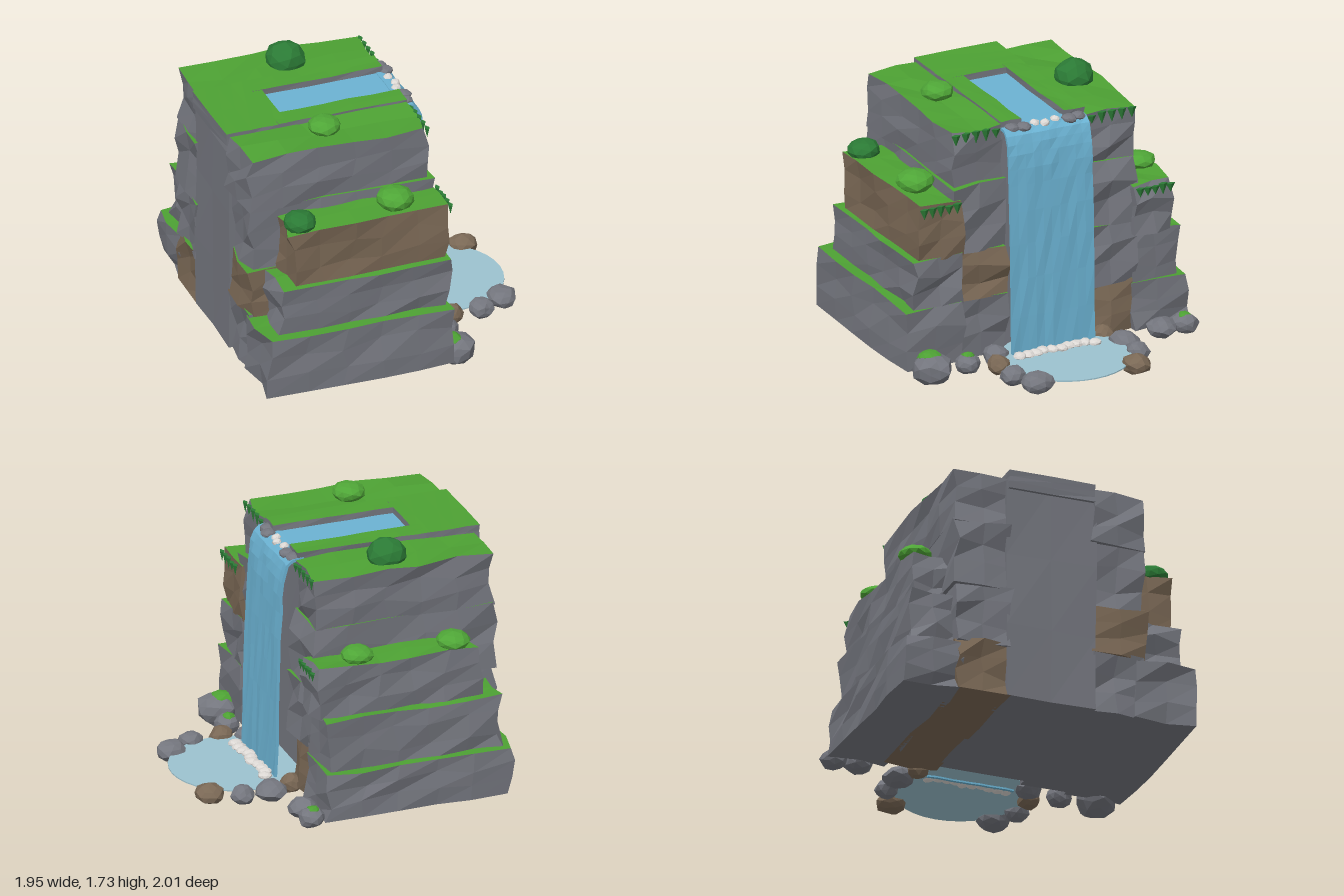
import * as THREE from 'three';

const mat = (name, color) => Object.assign(new THREE.MeshStandardMaterial({ color }), { name });

// Repeatable noise in -1..1 from a position, so shared corners move together
const noise = (x, y, z, s) => {
  const q = v => Math.round(v * 500);
  const n = Math.sin(q(x) * 1.27 + q(y) * 3.11 + q(z) * 7.47 + s * 17.3) * 4375.85;
  return (n - Math.floor(n)) * 2 - 1;
};

// Move every vertex by a rule, then give it flat faces
function facet(geometry, rule) {
  const p = geometry.attributes.position, v = new THREE.Vector3();
  for (let i = 0; i < p.count; i++) {
    rule(v.fromBufferAttribute(p, i));
    p.setXYZ(i, v.x, v.y, v.z);
  }
  const g = geometry.index ? geometry.toNonIndexed() : geometry;
  g.computeVertexNormals();
  return g;
}

export function createModel() {
  const model = new THREE.Group();
  const rock = mat('greyRock', 0x74767e), brown = mat('brownRock', 0x7a6855);
  const grass = mat('grass', 0x4da133), leaf = mat('bushGreen', 0x4fa637);
  const dark = mat('darkGreen', 0x2b7a35), water = mat('water', 0x6bb2d2);
  const pool = mat('poolWater', 0x9cc2cf), foam = mat('foam', 0xdcd8d4);

  const add = (name, geometry, material, parent = model) => {
    const mesh = new THREE.Mesh(geometry, material);
    mesh.name = name;
    parent.add(mesh);
    return mesh;
  };
  const group = name => {
    const g = new THREE.Group();
    g.name = name;
    model.add(g);
    return g;
  };

  // Rough rock layer with a grassy top face
  let seed = 1;
  function ledge(name, [x0, x1, y0, y1, z0, z1], side, parent, rough = 1) {
    const s = seed++;
    const box = new THREE.BoxGeometry(x1 - x0, y1 - y0, z1 - z0, 5, 3, 2);
    box.translate((x0 + x1) / 2, (y0 + y1) / 2, (z0 + z1) / 2);
    const g = facet(box, v => {
      const { x, y, z } = v;
      const inner = y > y0 + 0.01 && y < y1 - 0.01;
      v.x += rough * 0.03 * noise(x, y, z, s);
      v.z += rough * 0.018 * noise(x, y, z, s + 40);
      if (inner) v.y += rough * 0.03 * noise(x, y, z, s + 80);
      else if (y > y0 + 0.01) v.y += rough * 0.014 * noise(x, y, z, s + 80);
    });
    add(name, g, [side, side, grass, side, side, side], parent);
  }

  // Stepped cliff on both sides of the fall
  const leftCliff = group('leftCliff'), rightCliff = group('rightCliff');
  [
    [[-0.94, 0.30, 0.08, 0.48, 0.58, 0.98], rock],
    [[-0.84, 0.28, 0.47, 0.80, 0.58, 0.91], rock],
    [[-0.76, 0.29, 0.79, 1.17, 0.58, 0.88], brown],
    [[-0.93, 0.27, 0.08, 0.49, 0.27, 0.63], rock],
    [[-0.94, 0.28, 0.48, 0.80, 0.27, 0.64], brown],
    [[-0.94, 0.26, 0.79, 1.24, 0.27, 0.63], rock],
    [[-0.95, 0.23, 1.23, 1.60, 0.27, 0.63], rock],
  ].forEach(([box, m]) => ledge('rockLedge', box, m, leftCliff));
  [
    [[-0.93, 0.31, 0.08, 0.38, -0.98, -0.60], rock],
    [[-0.88, 0.29, 0.37, 0.73, -0.92, -0.60], rock],
    [[-0.76, 0.33, 0.72, 1.06, -0.86, -0.60], rock],
    [[-0.93, 0.27, 0.08, 0.43, -0.63, -0.27], brown],
    [[-0.94, 0.28, 0.41, 0.82, -0.63, -0.27], rock],
    [[-0.94, 0.27, 0.80, 1.24, -0.64, -0.27], rock],
    [[-0.93, 0.25, 1.23, 1.58, -0.64, -0.27], rock],
  ].forEach(([box, m]) => ledge('rockLedge', box, m, rightCliff));

  // Middle wall with a channel in its top for the stream
  const middle = group('middleWall');
  ledge('wallCore', [-0.95, 0.20, 0.08, 1.55, -0.30, 0.30], rock, middle, 0.3);
  ledge('backBank', [-0.97, -0.56, 1.50, 1.62, -0.29, 0.29], rock, middle, 0.15);
  for (const s of [-1, 1])
    ledge('streamBank', [-0.62, 0.24, 1.50, 1.62, s * 0.22 - 0.07, s * 0.22 + 0.07], rock, middle, 0.25);
  const stream = add('stream', new THREE.BoxGeometry(0.86, 0.02, 0.31), water);
  stream.position.set(-0.16, 1.57, 0);

  // Curved sheet of falling water, made of shallow ribs
  const path = new THREE.CatmullRomCurve3([
    [0.20, 1.575], [0.29, 1.56], [0.335, 1.44], [0.355, 1.2], [0.37, 0.7], [0.385, 0.09],
  ].map(([x, y]) => new THREE.Vector3(x, y, 0)));
  add('waterfall', facet(new THREE.BoxGeometry(0.02, 1, 0.58, 1, 12, 10), v => {
    const t = THREE.MathUtils.clamp(0.5 - v.y, 0, 1);
    const p = path.getPoint(t), d = path.getTangent(t), off = v.x;
    const rib = 0.005 * noise(0, v.y, v.z, 5);
    v.set(p.x - d.y * off + rib, p.y + d.x * off, v.z);
  }), water);

  // Pool at the foot
  const disc = add('pool', new THREE.CylinderGeometry(0.415, 0.415, 0.008, 32), pool);
  disc.position.set(0.555, 0.105, 0);

  // Faceted lump used for stones and bushes
  function lump(name, [x, y, z], [rx, ry, rz], material, parent, rough = 0.1) {
    const s = seed++;
    const g = facet(new THREE.IcosahedronGeometry(1, 1), v =>
      v.multiplyScalar(1 + rough * noise(v.x, v.y, v.z, s)));
    g.rotateY(s * 1.7);
    g.scale(rx, ry, rz);
    g.computeVertexNormals();
    add(name, g, material, parent).position.set(x, y, z);
  }

  // Stones round the pool, some with moss on top
  const stones = group('poolStones');
  [
    [0.48, -0.45, 0.10, rock], [0.67, -0.45, 0.075, rock], [0.85, -0.35, 0.095, brown],
    [0.32, -0.38, 0.07, brown], [0.48, 0.43, 0.075, brown], [0.68, 0.43, 0.08, rock],
    [0.85, 0.34, 0.10, rock], [0.33, 0.37, 0.085, rock], [0.38, 0.59, 0.08, rock, 1],
    [0.38, -0.76, 0.095, rock], [0.39, -0.92, 0.085, rock, 1],
  ].forEach(([x, z, r, m, mossy]) => {
    lump('poolStone', [x, 0.1, z], [r, 0.065, r], m, stones);
    if (mossy) lump('moss', [x - 0.01, 0.14, z], [r * 0.55, 0.035, r * 0.55], grass, stones);
  });
  lump('cornerStone', [0.35, 0.1, 0.83], [0.14, 0.10, 0.13], rock, stones);
  lump('moss', [0.32, 0.16, 0.83], [0.08, 0.055, 0.08], grass, stones);

  // Foam along the foot of the fall
  const foamRow = group('foam');
  for (let i = 0; i < 10; i++) {
    const z = -0.26 + i * 0.058;
    lump('foamLump', [0.435 + 0.015 * noise(i, 0, 0, 3), 0.115, z], [0.045, 0.025, 0.042], foam, foamRow);
  }

  // Pebbles at the lip of the fall
  const lip = group('lipStones');
  [-0.24, -0.17, -0.08, 0, 0.06, 0.15, 0.22].forEach((z, i) => {
    const grey = Math.abs(z) > 0.1;
    const r = grey ? 0.05 : 0.032;
    lump('lipStone', [0.25 + 0.02 * (i % 2), 1.575, z], [r, 0.028, r], grey ? rock : foam, lip);
  });

  // Bushes on the ledges
  const bushes = group('bushes');
  [
    [-0.28, 1.61, -0.48, 0.13, 0.11, dark], [-0.37, 1.64, 0.43, 0.105, 0.06, leaf],
    [-0.67, 1.20, 0.79, 0.105, 0.07, dark], [-0.02, 1.22, 0.76, 0.12, 0.075, leaf],
    [-0.61, 1.10, -0.78, 0.11, 0.055, leaf], [0.03, 1.10, -0.78, 0.105, 0.055, leaf],
  ].forEach(([x, y, z, r, h, m]) => lump('bush', [x, y, z], [r, h, r], m, bushes, 0.05));

  // Hanging grass blades on the pool side of the upper ledges
  const fringe = group('grassFringe');
  for (const [x, y, z0, z1] of [
    [0.25, 1.58, 0.33, 0.61], [0.31, 1.15, 0.63, 0.86],
    [0.27, 1.56, -0.61, -0.33], [0.35, 1.04, -0.84, -0.63],
  ]) {
    for (let i = 0; i < 5; i++) {
      const blade = new THREE.ConeGeometry(0.032, 0.07 + 0.015 * noise(i, y, z0, 2), 4);
      blade.rotateX(Math.PI).scale(0.5, 1, 1);
      add('grassBlade', blade.toNonIndexed(), dark, fringe)
        .position.set(x, y - 0.025, z0 + (z1 - z0) * i / 4);
    }
  }
  fringe.children.forEach(b => b.geometry.computeVertexNormals());
  return model;
}
